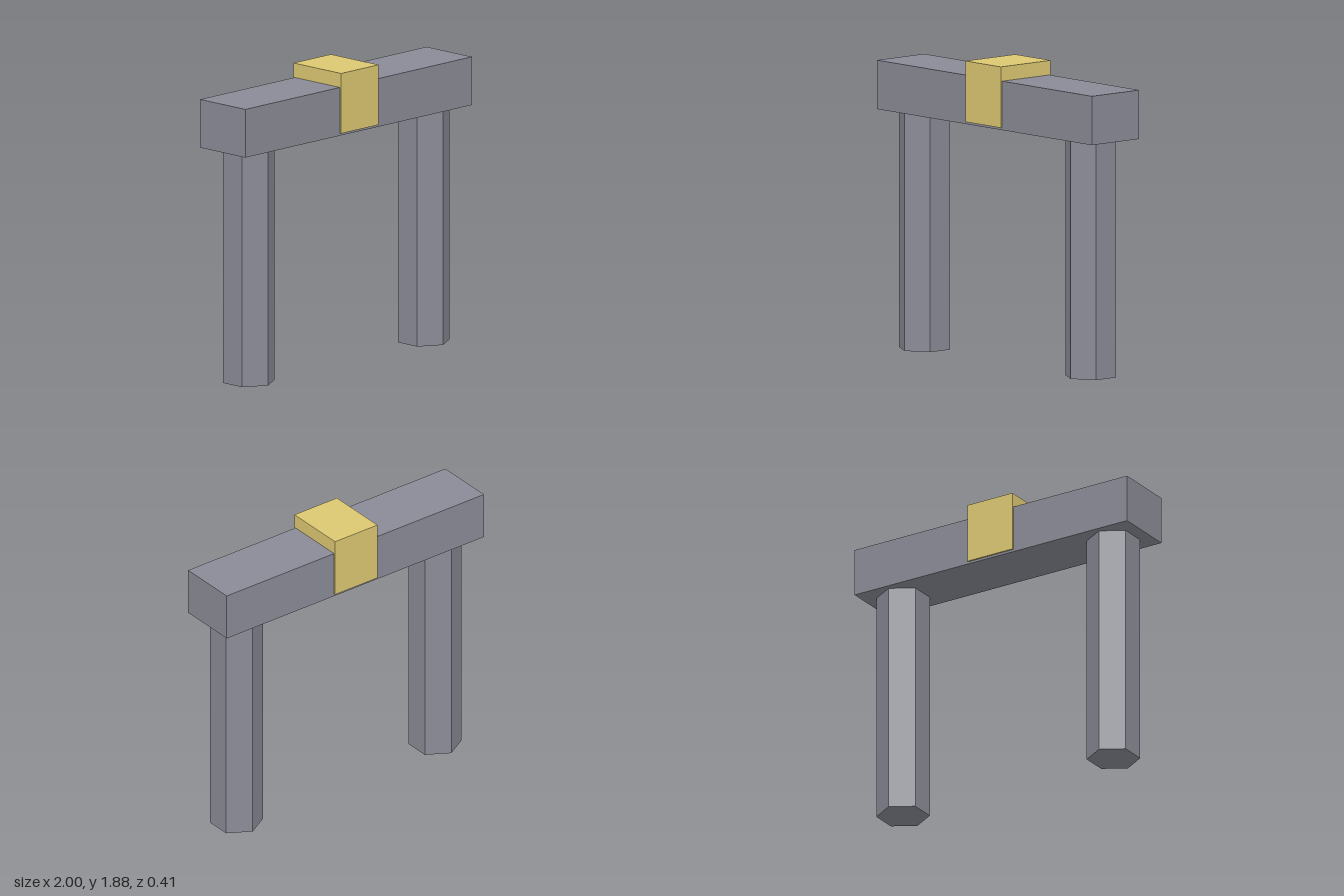
import * as THREE from 'three';

export function createModel() {
  const group = new THREE.Group();
  const stone = new THREE.MeshStandardMaterial({ color: 0x8a8b96, flatShading: true });
  const gold = new THREE.MeshStandardMaterial({ color: 0xdcc872, flatShading: true });

  const add = (name, geometry, material, x, y, z = 0) => {
    const mesh = new THREE.Mesh(geometry, material);
    mesh.name = name;
    mesh.position.set(x, y, z);
    group.add(mesh);
  };

  // Two hexagonal pillars, a corner edge facing front and back
  const pillarHeight = 1.485;
  for (const [name, side] of [['leftPillar', 1], ['rightPillar', -1]]) {
    add(name, new THREE.CylinderGeometry(0.165, 0.165, pillarHeight, 6), stone, side * 0.772, pillarHeight / 2);
  }

  // Lintel resting on the pillars
  add('lintel', new THREE.BoxGeometry(2, 0.305, 0.39), stone, 0, pillarHeight + 0.1525, -0.003);

  // Keystone block wrapped around the middle of the lintel
  add('keystone', new THREE.BoxGeometry(0.33, 0.38, 0.41), gold, 0, 1.69, -0.003);

  return group;
}
